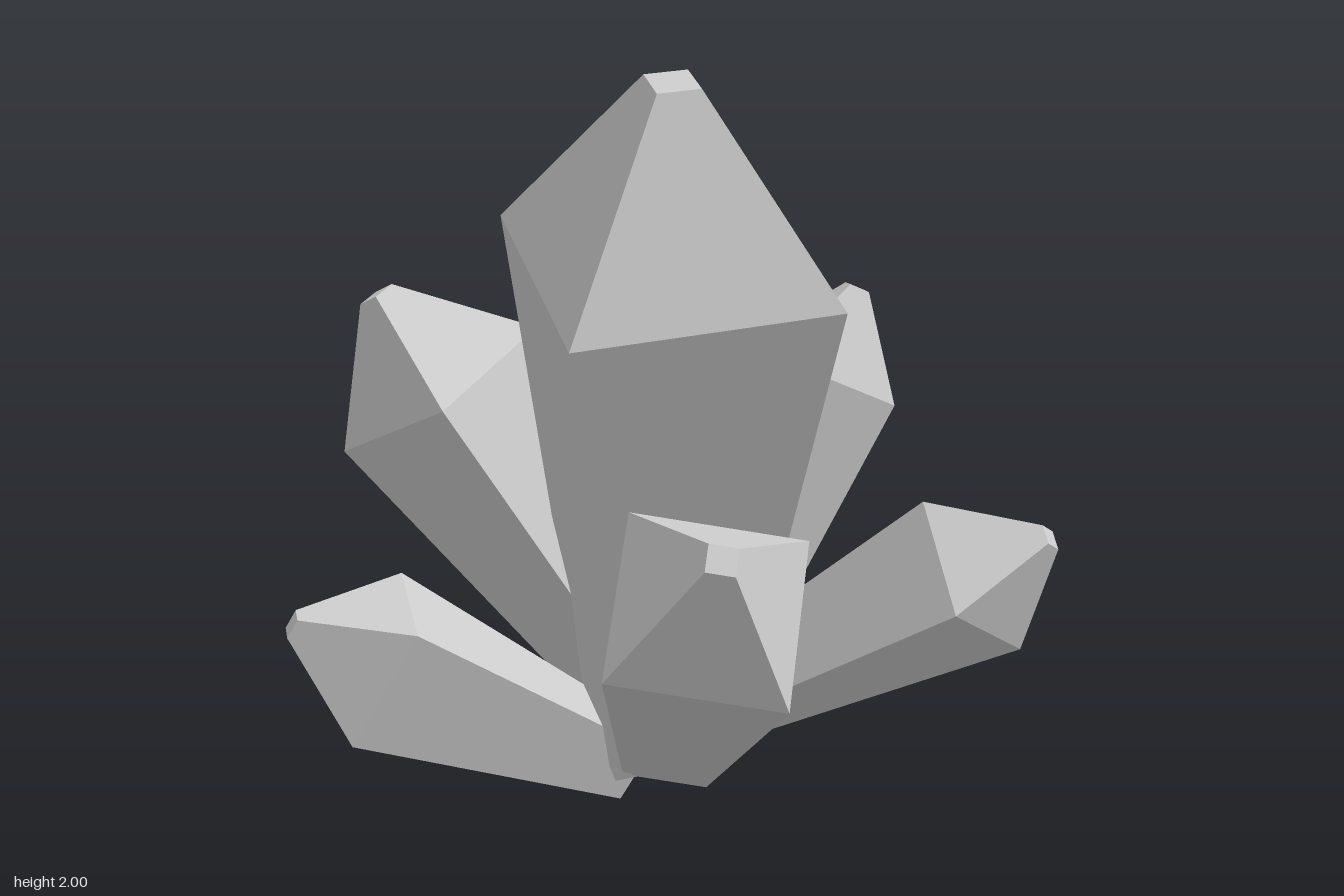
import * as THREE from 'three';

const material = new THREE.MeshStandardMaterial({ color: 0xcccccc, flatShading: true });

// Four-sided crystal placed by three consecutive shoulder corners,
// counter-clockwise seen from the tip. Root length is in shoulder radii.
function crystal(name, [a, b, c], rootScale = 0.5, rootLength = 3.2) {
  const A = new THREE.Vector3(...a);
  const B = new THREE.Vector3(...b);
  const C = new THREE.Vector3(...c);
  const centre = A.clone().add(C).multiplyScalar(0.5);
  const radius = (A.distanceTo(C) / 2 + B.distanceTo(centre)) / 2;

  const zAxis = A.sub(centre).normalize();
  const yAxis = zAxis.clone().cross(B.sub(centre)).normalize();
  const xAxis = yAxis.clone().cross(zAxis);

  // root cap, tapered shaft, pointed head, small blunt tip
  const profile = [
    [0, -rootLength],
    [rootScale, -rootLength],
    [1, 0],
    [0.16, 1],
    [0, 1],
  ].map(([r, y]) => new THREE.Vector2(r, y));

  const mesh = new THREE.Mesh(new THREE.LatheGeometry(profile, 4), material);
  mesh.name = name;
  mesh.quaternion.setFromRotationMatrix(new THREE.Matrix4().makeBasis(xAxis, yAxis, zAxis));
  mesh.position.copy(centre);
  mesh.scale.setScalar(radius);
  return mesh;
}

export function createModel() {
  const group = new THREE.Group();
  group.name = 'crystalCluster';
  group.add(
    crystal('mainCrystal', [[-0.32, 1.64, 0.33], [0.11, 1.40, 0.77], [0.59, 1.46, 0.33]]),
    crystal('tallRightCrystal', [[-0.90, 0.96, 0.20], [-0.51, 1.13, 0.31], [-0.46, 1.29, -0.09]]),
    crystal('backCrystal', [[0.17, 1.23, -0.25], [0.44, 1.09, -0.43], [0.24, 1.08, -0.72]], 0.7),
    crystal('backRightCrystal', [[-0.68, 0.798, -0.51], [-0.65, 0.59, -0.81], [-0.87, 0.337, -0.66]], 0.5, 3.1),
    crystal('frontRightCrystal', [[-0.88, 0.347, 0.287], [-0.665, 0.277, 0.55], [-0.487, 0.585, 0.495]], 0.48, 3.15),
    crystal('leftCrystal', [[0.66, 0.944, -0.03], [0.81, 0.715, 0.14], [0.896, 0.56, -0.13]], 0.58, 3.3),
    crystal('frontLeftCrystal', [[0.125, 0.985, 0.523], [0.19, 0.656, 0.79], [0.577, 0.585, 0.612]], 0.53, 3.22),
  );
  return group;
}
